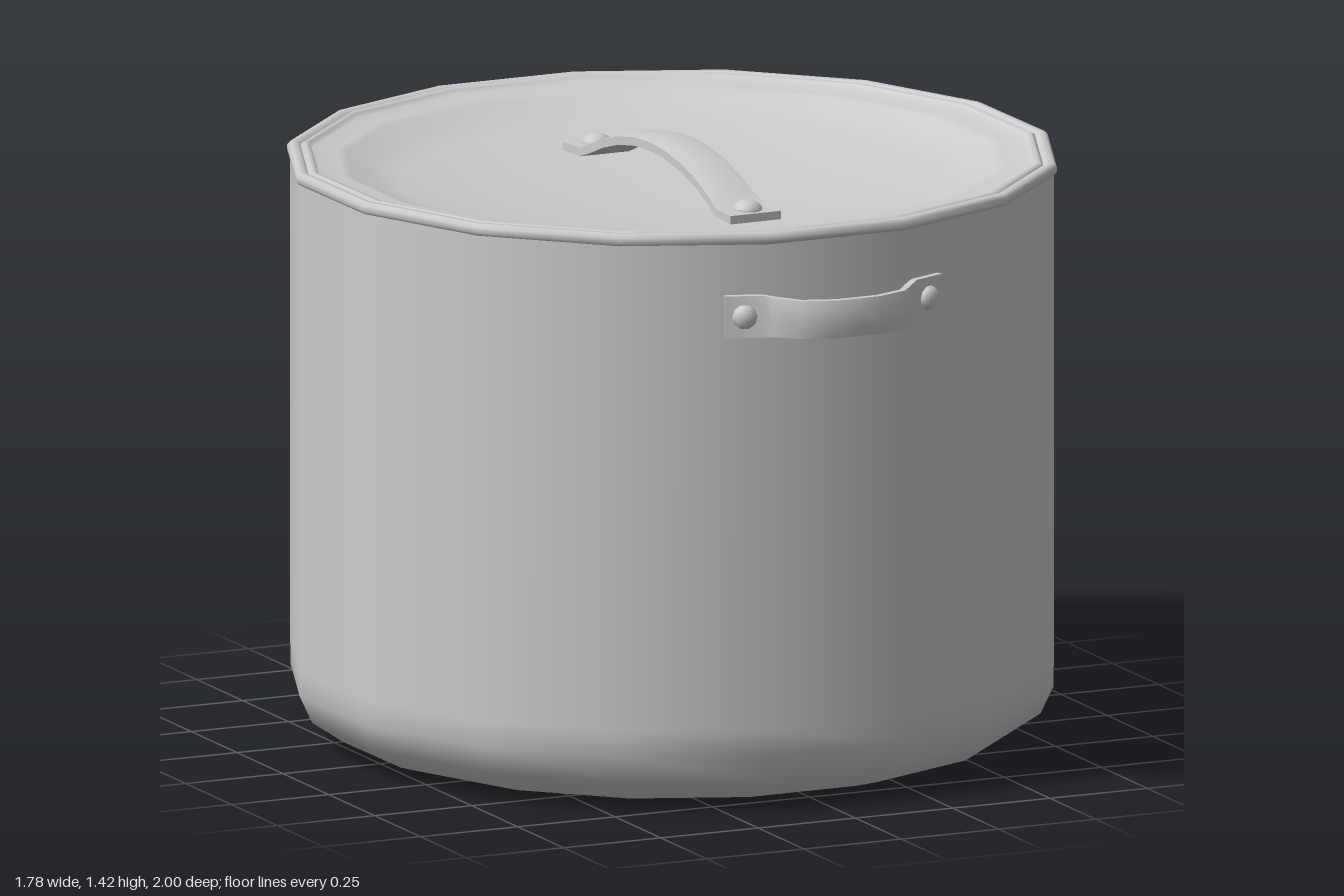
import * as THREE from 'three';
import { toCreasedNormals } from 'three/addons/utils/BufferGeometryUtils.js';

const SIDES = 16;
const metal = new THREE.MeshStandardMaterial({ color: 0xcccccc, side: THREE.DoubleSide });
metal.name = 'brushed metal';

function mesh(name, geometry) {
  const m = new THREE.Mesh(geometry, metal);
  m.name = name;
  return m;
}

// Sixteen-sided turned part from [radius, height] pairs, with flats facing the axes
function turned(name, profile) {
  const points = profile.map(([r, y]) => new THREE.Vector2(r, y));
  return mesh(name, new THREE.LatheGeometry(points, SIDES, Math.PI / SIDES));
}

// Strap swept along x; stations are [x, height, half width, bulge]
function strapGeometry(stations, t) {
  const pos = [], index = [], n = 6;
  stations.forEach(([x, y, w, bulge], i) => {
    const a = stations[Math.max(i - 1, 0)];
    const b = stations[Math.min(i + 1, stations.length - 1)];
    const len = Math.hypot(b[0] - a[0], b[1] - a[1]);
    const nx = -(b[1] - a[1]) / len, ny = (b[0] - a[0]) / len;
    const ring = [[-t, -w], [t, -w], [t + bulge, -w * 0.5], [t + bulge, w * 0.5], [t, w], [-t, w]];
    ring.forEach(([h, z]) => pos.push(x + nx * h, y + ny * h, z));
    if (i === stations.length - 1) return;
    for (let j = 0; j < n; j++) {
      const p = i * n + j, q = i * n + (j + 1) % n;
      index.push(p, q, q + n, p, q + n, p + n);
    }
  });
  const last = (stations.length - 1) * n;
  for (let j = 1; j < n - 1; j++) {
    index.push(0, j + 1, j, last, last + j, last + j + 1);
  }
  const g = new THREE.BufferGeometry();
  g.setAttribute('position', new THREE.Float32BufferAttribute(pos, 3));
  g.setIndex(index);
  return toCreasedNormals(g, 0.9);
}

// Mirrored strap with a domed rivet at each end
function handle(name, half, t, rivet) {
  const mirrored = half.filter(s => s[0] < 0).map(([x, ...rest]) => [-x, ...rest]).reverse();
  const group = new THREE.Group();
  group.name = name;
  group.add(mesh('strap', strapGeometry([...half, ...mirrored], t)));
  for (const side of [-1, 1]) {
    const dome = mesh('rivet', new THREE.SphereGeometry(rivet.r, 10, 4, 0, Math.PI * 2, 0, Math.PI / 2));
    dome.scale.y = 0.7;
    dome.position.set(side * rivet.x, rivet.y, 0);
    dome.rotation.z = -side * rivet.tilt;
    group.add(dome);
  }
  return group;
}

export function createModel() {
  const model = new THREE.Group();
  model.name = 'stockPot';

  // Pot body with rounded foot
  model.add(turned('potBody', [
    [0, 0], [0.68, 0], [0.715, 0.003], [0.79, 0.025], [0.865, 0.075],
    [0.895, 0.14], [0.896, 0.2], [0.896, 0.8], [0.896, 1.365],
  ]));

  // Rolled rim of the pot
  model.add(turned('potRim', [
    [0.87, 1.36], [0.897, 1.358], [0.903, 1.365], [0.903, 1.378],
    [0.895, 1.386], [0.88, 1.386], [0.871, 1.376],
  ]));

  // Sunken, dished lid with its own raised edge
  model.add(turned('lid', [
    [0.875, 1.37], [0.871, 1.38], [0.862, 1.386], [0.85, 1.383], [0.845, 1.372],
    [0.79, 1.37], [0.765, 1.365], [0.72, 1.343], [0.64, 1.322],
    [0.44, 1.297], [0.22, 1.279], [0, 1.272],
  ]));

  // Arched strap on the lid
  const lidHandle = handle('lidHandle', [
    [-0.445, 1.318, 0.065, 0], [-0.36, 1.32, 0.064, 0], [-0.32, 1.335, 0.059, 0.004],
    [-0.25, 1.362, 0.057, 0.006], [-0.17, 1.385, 0.057, 0.006], [-0.08, 1.4, 0.057, 0.006],
    [0, 1.404, 0.057, 0.006],
  ], 0.01, { x: 0.4, y: 1.327, r: 0.036, tilt: 0 });
  lidHandle.rotation.y = Math.PI / 2;
  model.add(lidHandle);

  // Carrying handles at front and back
  for (const [name, angle] of [['frontHandle', 0], ['backHandle', Math.PI]]) {
    const grip = handle('grip', [
      [-0.278, 0.852, 0.05, 0], [-0.195, 0.886, 0.05, 0], [-0.175, 0.905, 0.047, 0.003],
      [-0.13, 0.957, 0.045, 0.006], [-0.055, 0.985, 0.045, 0.006], [0, 0.986, 0.045, 0.006],
    ], 0.008, { x: 0.238, y: 0.876, r: 0.03, tilt: 0.39 });
    grip.rotation.x = Math.PI / 2;
    grip.position.y = 1.19;
    const side = new THREE.Group();
    side.name = name;
    side.rotation.y = angle;
    side.add(grip);
    model.add(side);
  }

  model.rotation.y = 0.0125;
  return model;
}
